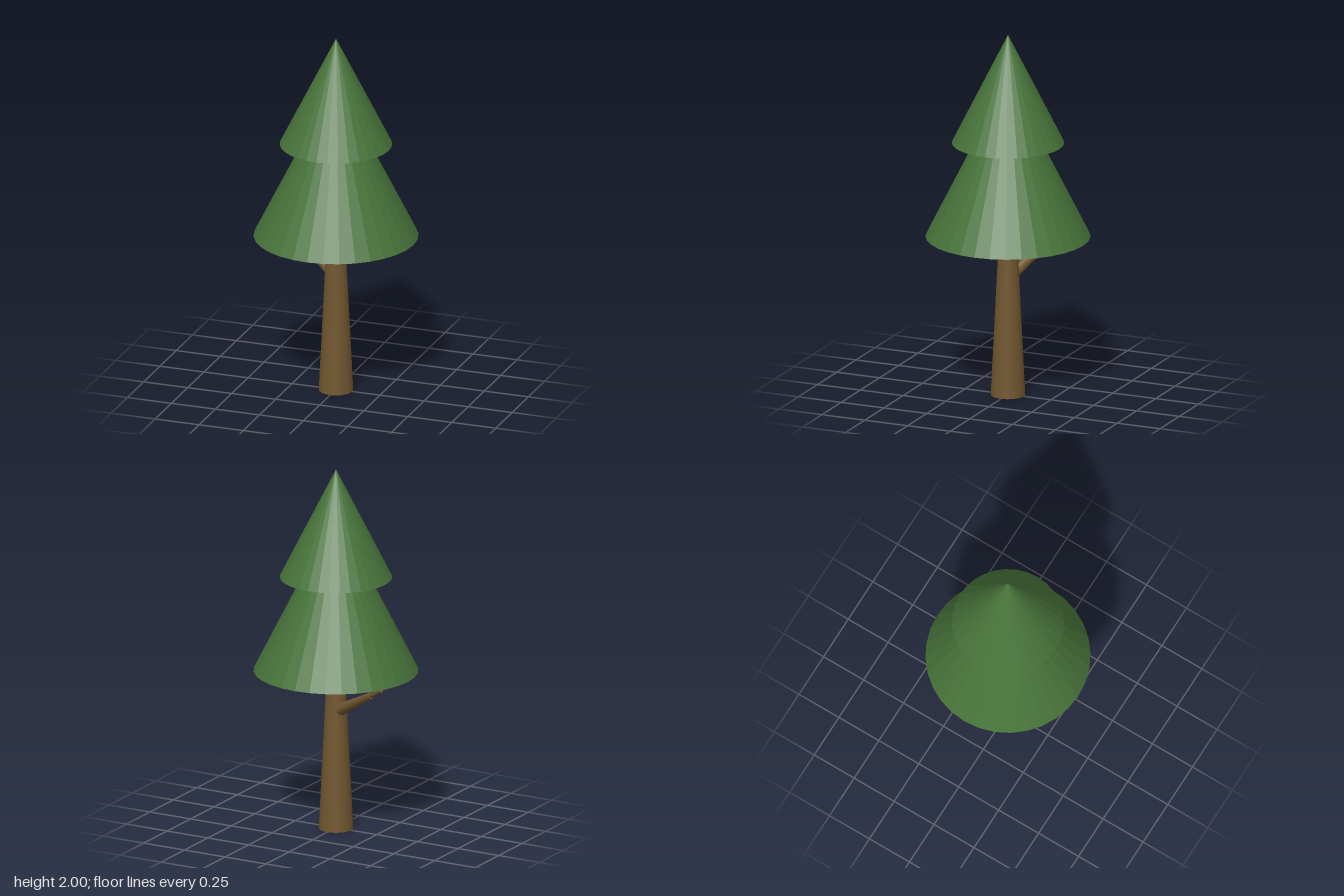
import * as THREE from 'three';

const bark = new THREE.MeshStandardMaterial({ color: 0x70562f, flatShading: true });
bark.name = 'bark brown';
const needles = new THREE.MeshStandardMaterial({ color: 0x47733a, flatShading: true });
needles.name = 'needle green';

// Tapered rod from point a (radius ra) to point b (radius rb)
function rod(name, a, b, ra, rb, material) {
  const dir = b.clone().sub(a);
  const mesh = new THREE.Mesh(new THREE.CylinderGeometry(rb, ra, dir.length(), 16), material);
  mesh.position.copy(a).add(b).multiplyScalar(0.5);
  mesh.quaternion.setFromUnitVectors(new THREE.Vector3(0, 1, 0), dir.normalize());
  mesh.name = name;
  return mesh;
}

export function createModel() {
  const tree = new THREE.Group();
  tree.name = 'tree';

  // Trunk with a tapering crown hidden in the foliage
  const profile = [[0, 0], [0.092, 0], [0.052, 0.82], [0.036, 0.88], [0, 0.94]];
  // repeated rings keep the edges crisp under flat shading
  const trunk = new THREE.Mesh(
    new THREE.LatheGeometry(profile.map(([r, y]) => new THREE.Vector2(r, y)), 32), bark);
  trunk.name = 'trunk';
  tree.add(trunk);

  // Foliage tiers: base height, base radius, height
  [['lowerFoliage', 0.88, 0.44, 0.88], ['upperFoliage', 1.4, 0.3, 0.6]].forEach(([name, y, r, h]) => {
    const cone = new THREE.Mesh(new THREE.ConeGeometry(r, h, 32), needles);
    cone.position.y = y + h / 2;
    cone.name = name;
    tree.add(cone);
  });

  // Point on a rising branch line at a distance from the trunk axis
  const along = (angle, y, d) => new THREE.Vector3(
    Math.cos(angle) * d, y + 0.53 * d, Math.sin(angle) * d);

  // Bare branch with a thinner twig at its end
  const bare = THREE.MathUtils.degToRad(-155);
  tree.add(rod('bareBranch', along(bare, 0.648, 0.02), along(bare, 0.648, 0.32), 0.034, 0.018, bark));
  tree.add(rod('bareTwig', along(bare, 0.648, 0.3), along(bare, 0.648, 0.42), 0.014, 0.01, bark));

  // Branches rising into the foliage, green underneath
  [['frontBranch', 68], ['backBranch', -97]].forEach(([name, deg]) => {
    const angle = THREE.MathUtils.degToRad(deg);
    tree.add(rod(name, along(angle, 0.766, 0.02), along(angle, 0.766, 0.31), 0.026, 0.018, bark));
    tree.add(rod(name + 'Needles', along(angle, 0.758, 0.03), along(angle, 0.758, 0.31), 0.027, 0.019, needles));
  });

  return tree;
}
